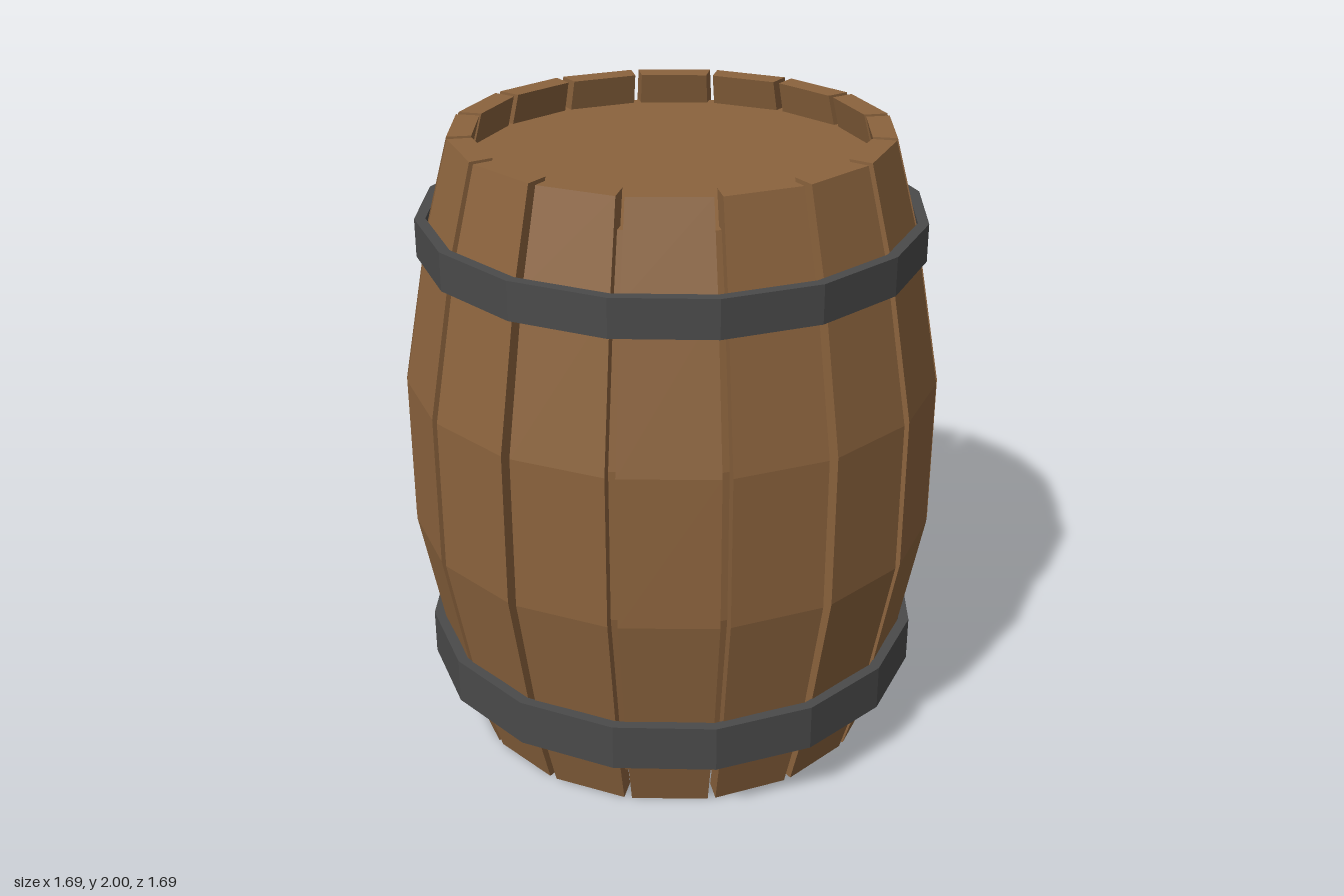
import * as THREE from 'three';

const SIDES = 16;
const STEP = (Math.PI * 2) / SIDES;
const GAP = THREE.MathUtils.degToRad(2.1);
const THICKNESS = 0.075;

// Outer bulge of the barrel: [radius, height]
const PROFILE = [[0.68, 0], [0.755, 0.26], [0.845, 0.74], [0.845, 1.23], [0.755, 1.72], [0.68, 2]];

const wood = new THREE.MeshStandardMaterial({ color: 0x8b633d, flatShading: true });
const iron = new THREE.MeshStandardMaterial({ color: 0x4a4a4a, flatShading: true });

function named(name, geometry, material) {
  const mesh = new THREE.Mesh(geometry, material);
  mesh.name = name;
  return mesh;
}

function lathe(points) {
  return new THREE.LatheGeometry(points.map(([r, y]) => new THREE.Vector2(r, y)), SIDES);
}

// One bent plank: a four-cornered section swept up the profile, capped at both ends
function staveGeometry() {
  const positions = [];
  const index = [];
  const end = -(STEP - GAP);
  for (const [r, y] of PROFILE) {
    const inner = r - THICKNESS;
    for (const [radius, a] of [[r, end], [r, 0], [inner, 0], [inner, end]]) {
      positions.push(radius * Math.sin(a), y, radius * Math.cos(a));
    }
  }
  const quad = (a, b, c, d) => index.push(a, b, c, a, c, d);
  for (let level = 0; level < PROFILE.length - 1; level++) {
    const low = level * 4;
    for (let i = 0; i < 4; i++) {
      const j = (i + 1) % 4;
      quad(low + i, low + j, low + 4 + j, low + 4 + i);
    }
  }
  const top = (PROFILE.length - 1) * 4;
  quad(top, top + 1, top + 2, top + 3);
  quad(3, 2, 1, 0);

  const indexed = new THREE.BufferGeometry();
  indexed.setAttribute('position', new THREE.Float32BufferAttribute(positions, 3));
  indexed.setIndex(index);
  const geometry = indexed.toNonIndexed();
  geometry.computeVertexNormals();
  return geometry;
}

// Flat band with a rectangular section
function hoop(name, radius, bottom, top) {
  const inner = radius - 0.034;
  const section = [[inner, bottom], [radius, bottom], [radius, top], [inner, top], [inner, bottom]];
  return named(name, lathe(section), iron);
}

export function createModel() {
  const barrel = new THREE.Group();
  barrel.name = 'barrel';

  // Staves with narrow gaps between them
  const staves = new THREE.Group();
  staves.name = 'staves';
  const plank = staveGeometry();
  for (let i = 0; i < SIDES; i++) {
    const stave = named('stave', plank, wood);
    stave.rotation.y = i * STEP;
    staves.add(stave);
  }
  barrel.add(staves);

  // Inner body: recessed lids, and the floor of the gaps
  const depth = 0.04;
  const lidInset = 0.1;
  const wall = PROFILE.map(([r, y]) => [r - depth, THREE.MathUtils.clamp(y, lidInset, 2 - lidInset)]);
  wall[0][0] = wall[wall.length - 1][0] = 0.668;
  barrel.add(named('innerBodyAndLids', lathe([[0, lidInset], ...wall, [0, 2 - lidInset]]), wood));

  // Iron hoops
  barrel.add(hoop('lowerHoop', 0.81, 0.21, 0.36));
  barrel.add(hoop('upperHoop', 0.79, 1.63, 1.75));

  return barrel;
}
